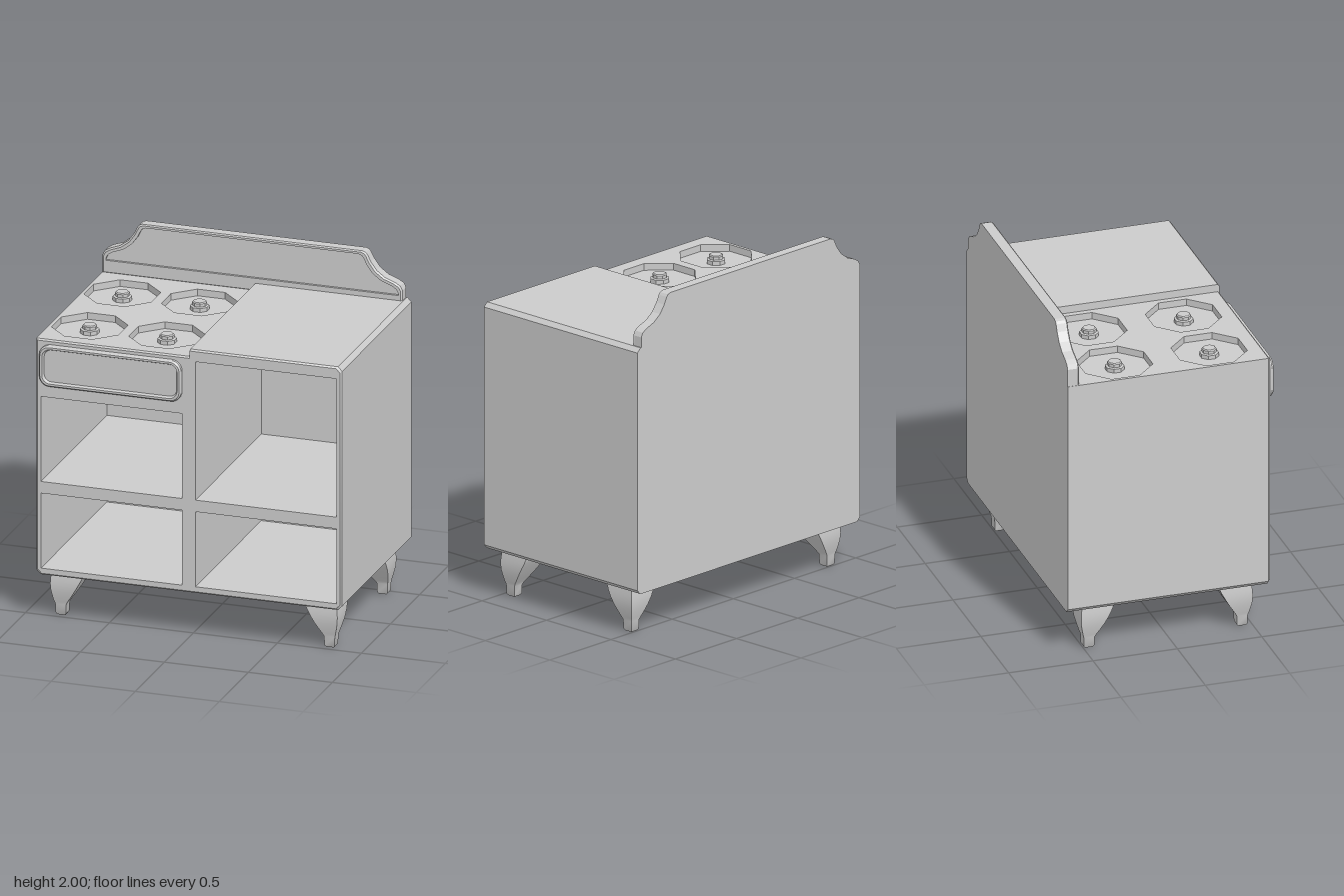
import * as THREE from 'three';
import { toCreasedNormals } from 'three/addons/utils/BufferGeometryUtils.js';

const material = new THREE.MeshStandardMaterial({ color: 0xcccccc });

function add(parent, name, geometry) {
  const mesh = new THREE.Mesh(geometry, material);
  mesh.name = name;
  parent.add(mesh);
  return mesh;
}

const toPath = (pts, Type = THREE.Shape) => new Type(pts.map(p => new THREE.Vector2(p[0], p[1])));

// Flat outline with holes, extruded from z0 to z1
function slab(pts, holes, z0, z1) {
  const shape = toPath(pts);
  holes.forEach(h => shape.holes.push(toPath(h, THREE.Path)));
  return new THREE.ExtrudeGeometry(shape, { depth: z1 - z0, bevelEnabled: false }).translate(0, 0, z0);
}

// Skin between successive closed loops of [x, y, z] points
function loft(loops) {
  const n = loops[0].length, index = [];
  for (let i = 0; i < loops.length - 1; i++) {
    for (let j = 0; j < n; j++) {
      const a = i * n + j, b = i * n + (j + 1) % n;
      index.push(a, b, b + n, a, b + n, a + n);
    }
  }
  const g = new THREE.BufferGeometry();
  g.setAttribute('position', new THREE.Float32BufferAttribute(loops.flat(2), 3));
  g.setIndex(index);
  return toCreasedNormals(g, 0.6);
}

const rect = (x0, x1, y0, y1) => [[x0, y0], [x1, y0], [x1, y1], [x0, y1]];

function roundRect(x0, x1, y0, y1, r) {
  const pts = [];
  const corners = [[x1 - r, y0 + r], [x1 - r, y1 - r], [x0 + r, y1 - r], [x0 + r, y0 + r]];
  corners.forEach(([cx, cy], k) => {
    for (let i = 0; i <= 6; i++) {
      const a = (k - 1 + i / 6) * Math.PI / 2;
      pts.push([cx + r * Math.cos(a), cy + r * Math.sin(a)]);
    }
  });
  return pts;
}

// Cabinet outline; the left half of the top sits at leftTop, below the worktop
const cabinetOutline = leftTop => [
  [-0.885, 0.27], [0.885, 0.27], [0.91, 0.295], [0.91, 1.705], [0.885, 1.73],
  [0.005, 1.73], [0.005, leftTop], [-0.91, leftTop], [-0.91, 0.295],
];

function makeCabinet(group) {
  const openings = [
    rect(-0.88, -0.04, 0.31, 0.76), rect(0.04, 0.88, 0.31, 0.76),
    rect(-0.88, -0.04, 0.83, 1.34), rect(0.04, 0.88, 0.83, 1.66),
  ];
  const core = cabinetOutline(1.645), outer = cabinetOutline(1.685);
  const inset = outer.map(([x, y]) => [x * 0.99, 1 + (y - 1) * 0.987]);
  add(group, 'cabinetBody', slab(core, openings, -0.55, 0.57));
  add(group, 'backWall', slab(core, [], -0.62, -0.55));
  add(group, 'frontFrame', slab(inset, openings, 0.57, 0.58));
  add(group, 'frontFrameBevel', loft([outer.map(p => [...p, 0.57]), inset.map(p => [...p, 0.58])]));
}

function makeCooktop(group) {
  const burners = [];
  for (const x of [-0.69, -0.23]) for (const z of [-0.27, 0.29]) burners.push([x, z]);
  const wells = burners.map(([x, z]) => Array.from({ length: 8 }, (_, i) => {
    const a = (i + 0.5) * Math.PI / 4;
    return [x + 0.216 * Math.cos(a), -z + 0.216 * Math.sin(a)];
  }));
  const top = slab(rect(-0.91, 0.005, -0.57, 0.62), wells, 1.645, 1.685).rotateX(-Math.PI / 2);
  add(group, 'cooktop', top);

  // Stepped eight-sided burner in each well
  const profile = [[0.055, 1.64], [0.055, 1.668], [0.042, 1.672], [0.042, 1.69], [0.036, 1.696], [0, 1.696]]
    .map(p => new THREE.Vector2(...p));
  for (const [x, z] of burners) {
    const g = toCreasedNormals(new THREE.LatheGeometry(profile, 8, Math.PI / 8), 0.3);
    add(group, 'burner', g).position.set(x, 0, z);
  }
}

function makeBacksplash(group) {
  const half = [[0.893, 1.79], [0.88, 1.815], [0.85, 1.833], [0.79, 1.855], [0.74, 1.892],
    [0.705, 1.94], [0.685, 1.98], [0.675, 1.993], [0.655, 2]];
  const outline = (d, bottom) => {
    const side = [[0.893, bottom], ...half].map(([x, y], i) => [x - d, i ? y - d * 0.85 : y]);
    return [...side, ...side.map(([x, y]) => [-x, y]).reverse()].map(([x, y]) => [x - 0.015, y]);
  };
  const at = (pts, z) => pts.map(p => [...p, z]);
  const outer = outline(0, 1.685), lip = outline(0.008, 1.69);
  const recess = outline(0.022, 1.76);
  add(group, 'backsplashPanel', slab(outer, [], -0.62, -0.566));
  add(group, 'backsplashRim', slab(lip, [recess], -0.566, -0.55));
  add(group, 'backsplashRimBevel', loft([at(outer, -0.566), at(outer, -0.558), at(lip, -0.55)]));
}

// Raised panel with a rounded rim around a sunken face
function makeControlPanel(group) {
  const ring = (d, z) => roundRect(-0.885 + d, -0.04 - d, 1.412 + d, 1.658 - d, 0.06 - d * 0.6)
    .map(p => [...p, z]);
  add(group, 'controlPanelRim', loft([ring(0, 0.575), ring(0, 0.598), ring(0.008, 0.61),
    ring(0.02, 0.61), ring(0.028, 0.592)]));
  add(group, 'controlPanelFace', slab(ring(0.027, 0), [], 0.575, 0.592));
}

function makeLegs(group) {
  // Height, outer edge and inner edge of the square section
  const rows = [[0, 0.8, 0.8], [0, 0.823, 0.777], [0.01, 0.83, 0.77], [0.065, 0.832, 0.768],
    [0.085, 0.838, 0.757], [0.115, 0.845, 0.737], [0.15, 0.852, 0.715], [0.19, 0.855, 0.692],
    [0.225, 0.853, 0.673], [0.25, 0.85, 0.662], [0.275, 0.847, 0.66]];
  for (const sx of [-1, 1]) {
    for (const sz of [-1, 1]) {
      const shift = sz > 0 ? 0.36 : 0.333;
      const loops = rows.map(([y, out, inn]) => {
        const [x0, x1] = [sx * out, sx * inn].sort((a, b) => a - b);
        const [z0, z1] = [sz * (out - shift), sz * (inn - shift)].sort((a, b) => a - b);
        return [[x1, y, z1], [x1, y, z0], [x0, y, z0], [x0, y, z1]];
      });
      add(group, (sz > 0 ? 'front' : 'back') + (sx > 0 ? 'Left' : 'Right') + 'Leg', loft(loops));
    }
  }
}

export function createModel() {
  const group = new THREE.Group();
  group.name = 'stove';
  makeCabinet(group);
  makeCooktop(group);
  makeBacksplash(group);
  makeControlPanel(group);
  makeLegs(group);
  return group;
}
